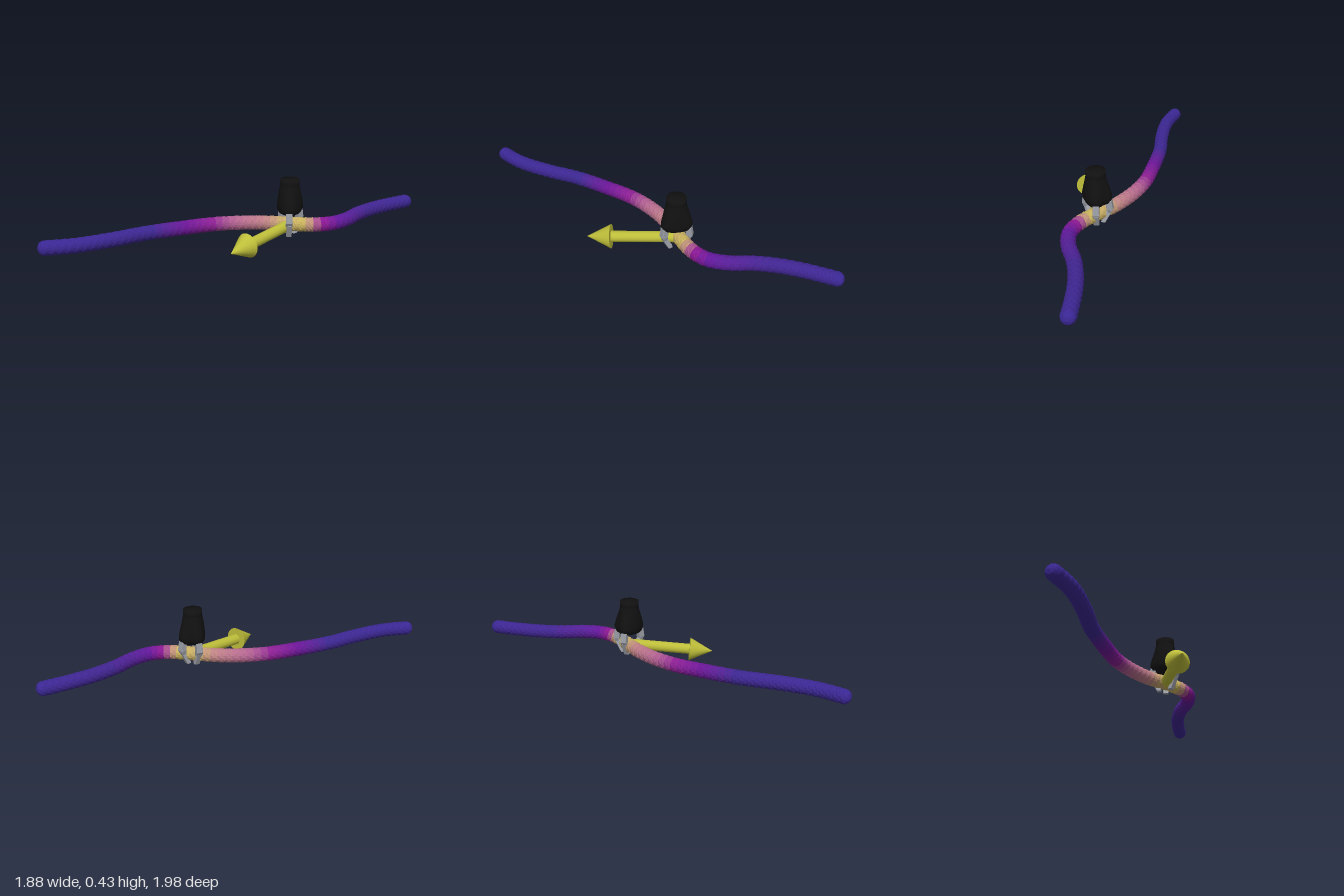
import * as THREE from 'three';

const mat = (color, extra = {}) => new THREE.MeshStandardMaterial({ color, ...extra });

function named(name, geometry, material) {
  const mesh = new THREE.Mesh(geometry, material);
  mesh.name = name;
  return mesh;
}

// Centre line of the rope as (x, z), left end to right end
const ROPE_PATH = [
  [-0.925, 0.97], [-0.75, 0.835], [-0.6, 0.65], [-0.47, 0.455], [-0.31, 0.27], [-0.153, 0.11],
  [0.005, 0.005], [0.164, -0.063], [0.296, -0.095], [0.455, -0.143], [0.56, -0.217],
  [0.624, -0.34], [0.66, -0.5], [0.72, -0.656], [0.8, -0.8], [0.92, -0.98],
];
const ROPE_Y = 0.125;
const ROPE_RADIUS = 0.047;

// Colour stops along x: dark at the ends, bright at the grip
const STOPS = [
  [-0.94, 0x3a2793], [-0.45, 0x3c2690], [-0.3, 0x6a1596], [-0.16, 0x8e2093], [-0.04, 0xb2628f],
  [0.15, 0xbd7f85], [0.26, 0xc4a866], [0.4, 0xc9b35c], [0.46, 0xb56a8c], [0.49, 0x94188f],
  [0.58, 0x62179a], [0.68, 0x40248f], [0.94, 0x3a2793],
];

function ropeColor(x) {
  let i = 0;
  while (i < STOPS.length - 2 && x > STOPS[i + 1][0]) i++;
  const [x0, c0] = STOPS[i], [x1, c1] = STOPS[i + 1];
  const t = THREE.MathUtils.clamp((x - x0) / (x1 - x0), 0, 1);
  return new THREE.Color(c0).lerp(new THREE.Color(c1), t);
}

// Bumpy rope built from short coloured slices with rounded ends
function createRope() {
  const rope = new THREE.Group();
  rope.name = 'rope';
  const curve = new THREE.CatmullRomCurve3(ROPE_PATH.map(([x, z]) => new THREE.Vector3(x, ROPE_Y, z)));
  curve.arcLengthDivisions = 800;
  const length = curve.getLength();
  const slices = 60, ringsPer = 5, sides = 20, total = slices * ringsPer;
  const up = new THREE.Vector3(0, 1, 0);

  const ringPoint = (i, j) => {
    const u = i / total;
    const a = ((j % sides) / sides) * Math.PI * 2;
    const d = Math.min(u, 1 - u) * length;
    const cap = d < ROPE_RADIUS ? Math.sqrt(Math.max(0, 1 - (1 - d / ROPE_RADIUS) ** 2)) : 1;
    const bump = 0.0025 * Math.sin(i * 1.9 + 2 * Math.sin(a * 3)) * Math.cos(a * 7 + i * 0.63);
    const r = (ROPE_RADIUS + bump) * cap;
    const side = curve.getTangentAt(u).cross(up).normalize();
    const p = curve.getPointAt(u).addScaledVector(side, r * Math.cos(a));
    p.y += r * Math.sin(a);
    return p;
  };

  for (let s = 0; s < slices; s++) {
    const positions = [], index = [];
    for (let i = 0; i <= ringsPer; i++) {
      for (let j = 0; j <= sides; j++) positions.push(...ringPoint(s * ringsPer + i, j).toArray());
    }
    for (let i = 0; i < ringsPer; i++) {
      for (let j = 0; j < sides; j++) {
        const a = i * (sides + 1) + j, b = a + sides + 1;
        index.push(a, b, a + 1, b, b + 1, a + 1);
      }
    }
    const geo = new THREE.BufferGeometry();
    geo.setAttribute('position', new THREE.Float32BufferAttribute(positions, 3));
    geo.setIndex(index);
    geo.computeVertexNormals();
    const color = ropeColor(curve.getPointAt((s + 0.5) / slices).x);
    rope.add(named('ropeSlice', geo, mat(color, { flatShading: true })));
  }
  return rope;
}

// Directions of the three fingers around the gripper axis
const FINGER_ANGLES = [70, 218, 297].map(THREE.MathUtils.degToRad);

// Black housing: a round neck that swells into three lobes, one over each finger
function createHousing() {
  const profile = [
    [0, 0.205], [0.045, 0.205], [0.075, 0.212], [0.086, 0.235], [0.087, 0.26], [0.082, 0.3],
    [0.073, 0.35], [0.065, 0.39], [0.062, 0.4], [0.064, 0.405], [0.064, 0.437], [0, 0.437],
  ].map(([r, y]) => new THREE.Vector2(r, y));
  const geo = new THREE.LatheGeometry(profile, 48);
  const pos = geo.attributes.position;
  for (let i = 0; i < pos.count; i++) {
    const x = pos.getX(i), y = pos.getY(i), z = pos.getZ(i);
    const lobed = 1 - THREE.MathUtils.smoothstep(y, 0.24, 0.4);
    const angle = Math.atan2(z, x);
    const near = Math.max(...FINGER_ANGLES.map((f) => Math.cos(angle - f)));
    const k = 1 + lobed * (0.3 * Math.max(0, near) ** 6 - 0.08);
    pos.setXYZ(i, x * k, y, z * k);
  }
  geo.computeVertexNormals();
  return named('gripperHousing', geo, mat(0x111111));
}

// One link of a finger, from a side outline in (radius, height)
function fingerLink(name, outline, width, color) {
  const shape = new THREE.Shape(outline.map(([r, y]) => new THREE.Vector2(r, y)));
  const geo = new THREE.ExtrudeGeometry(shape, {
    depth: width, bevelEnabled: true, bevelSize: 0.003, bevelThickness: 0.003, bevelSegments: 1,
  });
  geo.translate(0, 0, -width / 2);
  return named(name, geo, mat(color));
}

function createFinger(angle) {
  const finger = new THREE.Group();
  finger.name = 'finger';
  finger.add(
    fingerLink('upperLink', [[0.066, 0.225], [0.075, 0.15], [0.095, 0.14], [0.11, 0.165], [0.1, 0.225]], 0.036, 0x9a9da5),
    fingerLink('fingertip', [[0.078, 0.155], [0.04, 0.085], [0.035, 0.062], [0.058, 0.062], [0.075, 0.095], [0.1, 0.145]], 0.03, 0xa5a8b0),
  );
  const hinge = named('hinge', new THREE.CylinderGeometry(0.011, 0.011, 0.046, 16), mat(0x83868e));
  hinge.rotation.x = Math.PI / 2;
  hinge.position.set(0.089, 0.152, 0);
  finger.add(hinge);
  finger.rotation.y = -angle;
  return finger;
}

function createGripper() {
  const gripper = new THREE.Group();
  gripper.name = 'gripper';
  gripper.add(createHousing(), ...FINGER_ANGLES.map(createFinger));
  gripper.position.set(0.31, 0, -0.08);
  return gripper;
}

// Arrow pointing from the grip towards the front
function createArrow() {
  const start = new THREE.Vector3(0.31, 0.122, -0.09);
  const tip = new THREE.Vector3(0.132, 0.076, 0.471);
  const dir = tip.clone().sub(start);
  const length = dir.length(), head = 0.16;
  const arrow = new THREE.Group();
  arrow.name = 'arrow';
  const yellow = mat(0xbdbd3a);
  const shaft = named('arrowShaft', new THREE.CylinderGeometry(0.036, 0.036, length - head, 32), yellow);
  shaft.position.y = (length - head) / 2;
  const cone = named('arrowHead', new THREE.ConeGeometry(0.08, head, 32), yellow);
  cone.position.y = length - head / 2;
  arrow.add(shaft, cone);
  arrow.position.copy(start);
  arrow.quaternion.setFromUnitVectors(new THREE.Vector3(0, 1, 0), dir.normalize());
  return arrow;
}

export function createModel() {
  const model = new THREE.Group();
  model.name = 'gripperPullingRope';
  model.add(createRope(), createGripper(), createArrow());
  return model;
}
